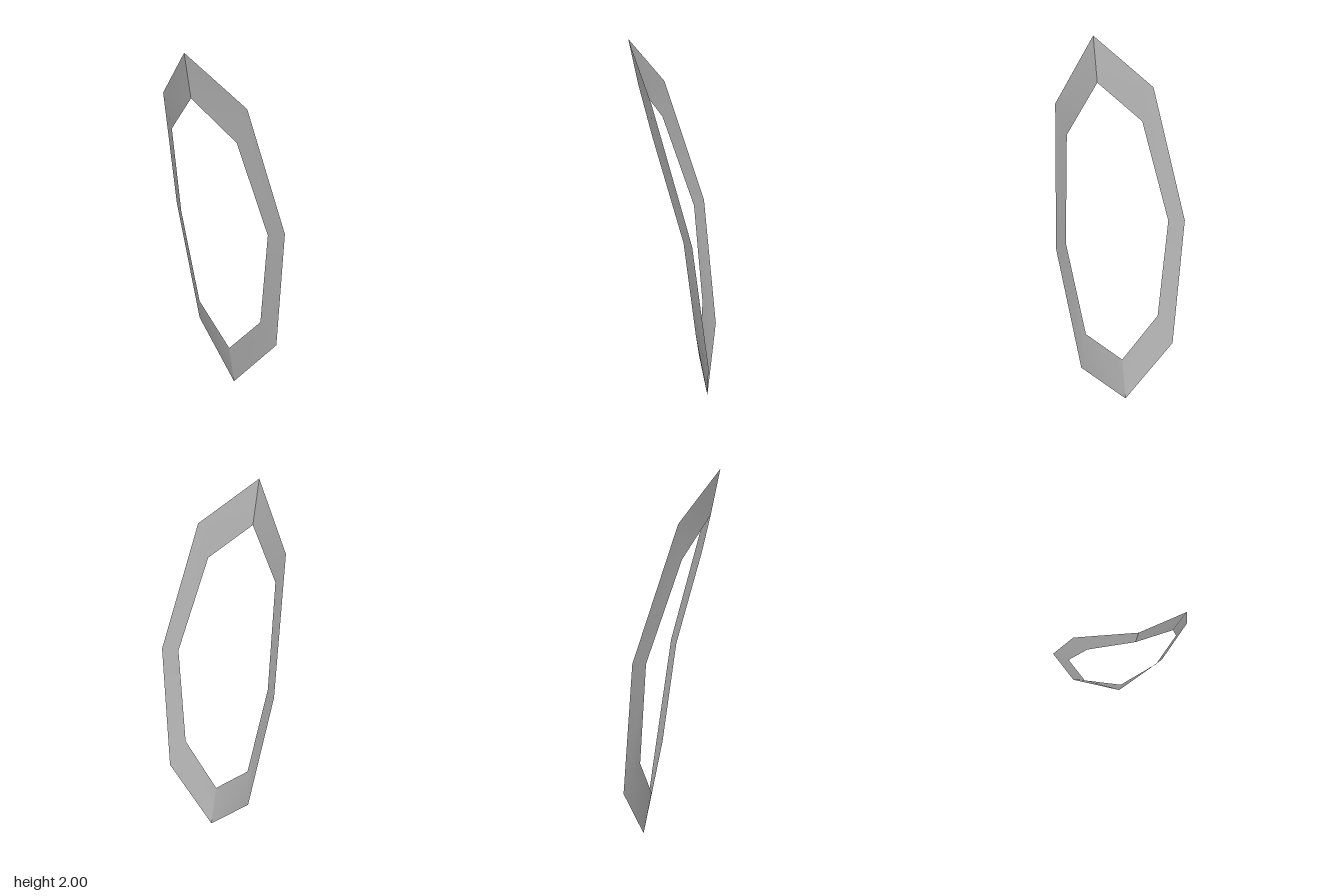
import * as THREE from 'three';

// Outer and inner edge of one half, from the top tip to the bottom tip
const OUTER = [[0, 2, 0.222], [0.27, 1.735, 0.072], [0.368, 1.04, -0.14], [0.276, 0.32, -0.224], [0, 0, -0.2]];
const INNER = [[0, 1.767, 0.173], [0.211, 1.555, 0.076], [0.295, 1.03, -0.09], [0.216, 0.475, -0.15], [0, 0.24, -0.152]];

// One smooth half of the band; side is +1 for left, -1 for right
function halfBand(side) {
  const positions = [];
  const index = [];
  OUTER.forEach((outer, i) => {
    for (const [x, y, z] of [outer, INNER[i]]) positions.push(side * x, y, z);
    if (i === OUTER.length - 1) return;
    const o = 2 * i;
    for (const [a, b, c] of [[o, o + 1, o + 2], [o + 1, o + 3, o + 2]]) {
      index.push(a, ...(side > 0 ? [b, c] : [c, b]));
    }
  });
  const geometry = new THREE.BufferGeometry();
  geometry.setAttribute('position', new THREE.Float32BufferAttribute(positions, 3));
  geometry.setIndex(index);
  geometry.computeVertexNormals();
  return geometry;
}

export function createModel() {
  const model = new THREE.Group();
  model.name = 'curvedFrame';
  const grey = new THREE.MeshStandardMaterial({ color: 0xb0b0b0, side: THREE.DoubleSide });
  grey.name = 'grey';

  // Two mirrored halves meet in a crease at the tips
  for (const [name, side] of [['leftHalf', 1], ['rightHalf', -1]]) {
    const half = new THREE.Mesh(halfBand(side), grey);
    half.name = name;
    model.add(half);
  }
  return model;
}
